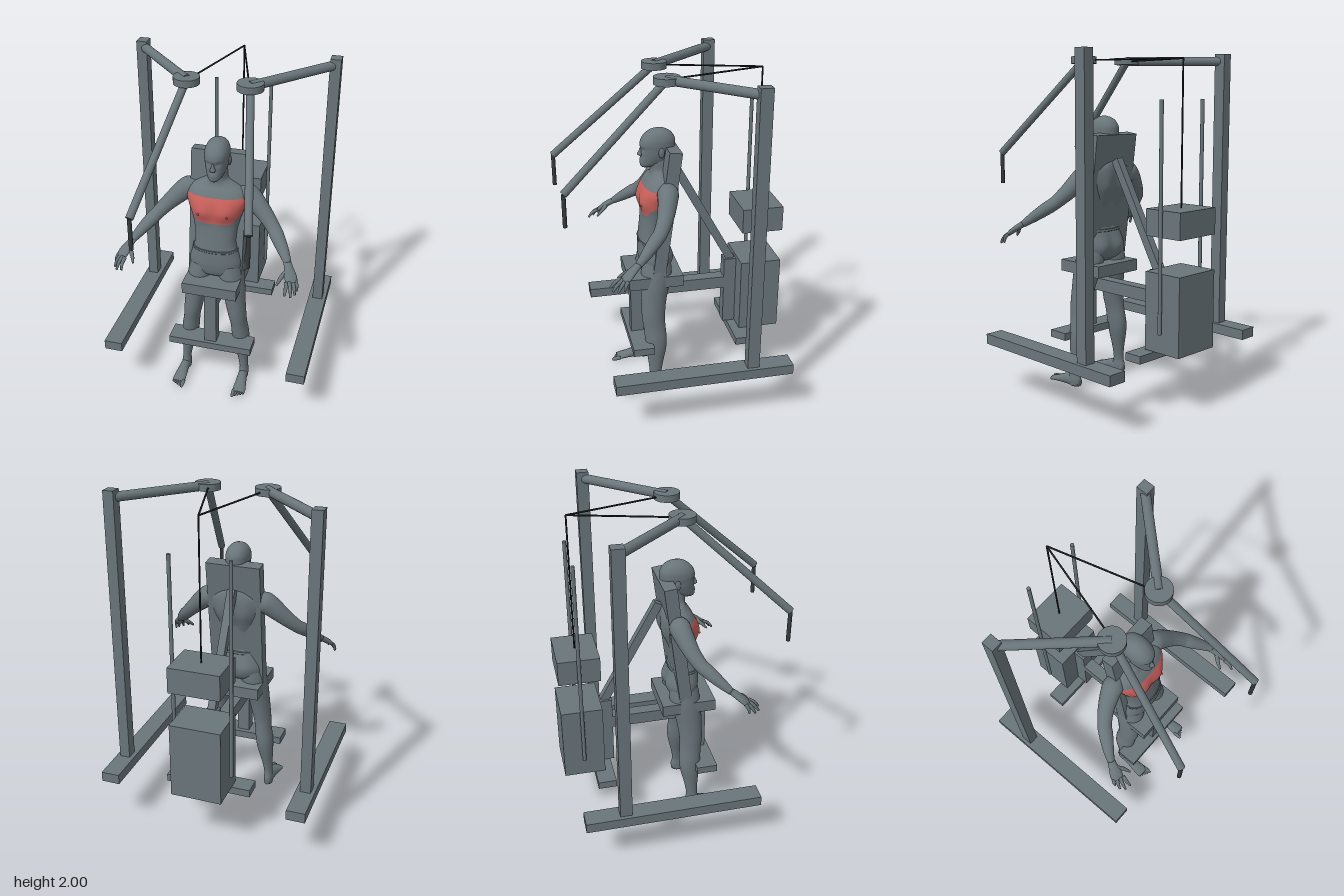
import * as THREE from 'three';

const V = (x, y, z) => new THREE.Vector3(x, y, z);
const mat = (name, color) => new THREE.MeshStandardMaterial({ name, color });

// Catmull-Rom interpolation of table rows
function smoothRows(rows, n) {
  const out = [], last = rows.length - 1;
  const row = i => rows[Math.min(last, Math.max(0, i))];
  for (let i = 0; i < last; i++) for (let k = 0; k < n; k++) {
    const t = k / n;
    out.push(rows[i].map((p1, c) => {
      const p0 = row(i - 1)[c], p2 = row(i + 1)[c], p3 = row(i + 2)[c];
      return 0.5 * (2 * p1 + (p2 - p0) * t + (2 * p0 - 5 * p1 + 4 * p2 - p3) * t * t
        + (3 * p1 - p0 - 3 * p2 + p3) * t * t * t);
    }));
  }
  out.push(rows[last]);
  return out;
}

// Closed skin over rings of points; faces passing the test go to material 1
function skin(rings, test = () => false) {
  const n = rings[0].length, m = rings.length, pts = rings.flat(), sets = [[], []];
  const tri = (a, b, c) => {
    const mid = V(0, 0, 0).add(pts[a]).add(pts[b]).add(pts[c]).divideScalar(3);
    sets[test(mid) ? 1 : 0].push(a, b, c);
  };
  for (const r of [rings[0], rings[m - 1]])
    pts.push(r.reduce((s, p) => s.add(p), V(0, 0, 0)).divideScalar(n));
  for (let j = 0; j < n; j++) {
    const k = (j + 1) % n;
    for (let i = 0; i < m - 1; i++) {
      const a = i * n + j, b = i * n + k, c = a + n, d = b + n;
      tri(a, c, b); tri(b, c, d);
    }
    tri(m * n, j, k);
    tri(m * n + 1, (m - 1) * n + k, (m - 1) * n + j);
  }
  const g = new THREE.BufferGeometry().setFromPoints(pts);
  g.setIndex([...sets[0], ...sets[1]]);
  g.addGroup(0, sets[0].length, 0);
  g.addGroup(sets[0].length, sets[1].length, 1);
  g.computeVertexNormals();
  return g;
}

// Upright form from rows [y, centre x, half width, front z, back z], lowest first
function upright(rows, sx, { n = 28, steps = 5, power = 0.9, bump = () => 0, test } = {}) {
  const pw = v => Math.sign(v) * Math.abs(v) ** power;
  return skin(smoothRows(rows, steps).map(([y, cx, rx, zf, zb]) =>
    Array.from({ length: n }, (_, j) => {
      const a = j / n * Math.PI * 2, x = cx * sx + rx * pw(Math.cos(a));
      const z = (zf + zb) / 2 + (zf - zb) / 2 * pw(Math.sin(a));
      return V(x, y, z + bump(x, y, Math.sin(a)));
    })), test);
}

// Limb along rows [x, y, z, side radius, vertical radius]
function limb(rows, sx, n = 16, steps = 5) {
  const r = smoothRows(rows, steps).map(([x, y, z, a, b]) => ({ p: V(x * sx, y, z), a, b }));
  return skin(r.map(({ p, a, b }, i) => {
    const t = r[Math.min(i + 1, r.length - 1)].p.clone().sub(r[Math.max(i - 1, 0)].p).normalize();
    const s = t.clone().cross(V(0, 1, 0)).normalize(), u = s.clone().cross(t);
    return Array.from({ length: n }, (_, j) => {
      const w = j / n * Math.PI * 2;
      return p.clone().addScaledVector(s, a * Math.cos(w)).addScaledVector(u, b * Math.sin(w));
    });
  }));
}

export function createModel() {
  const steel = mat('slate grey', 0x69757a);
  const red = mat('muscle red', 0xc85f5a);
  const dark = mat('dark grip', 0x343a3a);
  const black = mat('cable black', 0x1c2022);
  const model = new THREE.Group();
  model.name = 'chestFlyMachine';
  const machine = new THREE.Group(), figure = new THREE.Group();
  machine.name = 'machine';
  figure.name = 'figure';
  model.add(machine, figure);

  const add = (parent, name, geo, m = steel) => {
    const o = new THREE.Mesh(geo, m);
    o.name = name;
    parent.add(o);
    return o;
  };
  const box = (name, x0, x1, y0, y1, z0, z1) => {
    const o = add(machine, name, new THREE.BoxGeometry(x1 - x0, y1 - y0, z1 - z0));
    o.position.set((x0 + x1) / 2, (y0 + y1) / 2, (z0 + z1) / 2);
    return o;
  };
  const bar = (name, a, b, r, m = steel, sides = 20) => {
    const d = b.clone().sub(a);
    const o = add(machine, name, new THREE.CylinderGeometry(r, r, d.length(), sides), m);
    o.position.copy(a).add(b).multiplyScalar(0.5);
    o.quaternion.setFromUnitVectors(V(0, 1, 0), d.normalize());
    return o;
  };

  // Centre frame, seat and weights
  box('frontFootBoard', -0.257, 0.257, 0.3, 0.345, 0.145, 0.272);
  box('rearFootBoard', -0.257, 0.257, 0.3, 0.345, -0.47, -0.36);
  box('seat', -0.165, 0.165, 0.7, 0.77, -0.05, 0.275);
  box('seatPost', -0.037, 0.037, 0.345, 0.7, 0.175, 0.25);
  box('rearPost', -0.037, 0.037, 0.345, 0.78, -0.41, -0.335);
  box('seatBeam', -0.037, 0.037, 0.585, 0.66, -0.34, 0.18);
  box('weightStack', -0.15, 0.15, 0.35, 0.8, -0.655, -0.41);
  box('liftedWeight', -0.15, 0.15, 1.0, 1.15, -0.655, -0.41);
  const pad = box('backPad', -0.163, 0.163, 0.74, 1.54, 0.01, 0.085);
  pad.rotation.x = -0.13;
  const brace = box('backBrace', -0.023, 0.023, 0.73, 1.43, -0.235, -0.185);
  brace.rotation.x = 0.507;
  bar('liftCable', V(0, 1.15, -0.535), V(0, 1.957, -0.535), 0.005, black, 8);

  for (const s of [-1, 1]) {
    // Side frame and swinging arm
    box('floorRail', s * 0.565 - 0.055, s * 0.565 + 0.055, 0.3, 0.36, -0.6, 0.435);
    box('upright', s * 0.567 - 0.031, s * 0.567 + 0.031, 0.36, 2, -0.4, -0.33);
    bar('topBeam', V(s * 0.565, 1.957, -0.365), V(s * 0.175, 1.957, 0.053), 0.027);
    bar('pivotDisc', V(s * 0.176, 1.937, 0.053), V(s * 0.176, 1.977, 0.053), 0.073, steel, 32);
    bar('swingArm', V(s * 0.176, 1.957, 0.053), V(s * 0.316, 1.41, 0.642), 0.022);
    bar('handle', V(s * 0.316, 1.22, 0.642), V(s * 0.316, 1.41, 0.642), 0.012, dark);
    bar('pullCable', V(s * 0.15, 1.957, -0.015), V(0, 1.957, -0.535), 0.005, black, 8);
    bar('guideRod', V(s * 0.17, 0.465, -0.535), V(s * 0.17, 1.74, -0.535), 0.011);
  }

  // Torso and neck, with the chest muscles in red
  const bell = (x, y, w, h) => Math.exp(-x * x / w / w - y * y / h / h);
  add(figure, 'torso', upright([
    [0.77, 0, 0.07, 0.15, 0.06], [0.8, 0, 0.14, 0.18, 0.015], [0.86, 0, 0.158, 0.193, 0],
    [0.93, 0, 0.142, 0.193, 0.012], [1.0, 0, 0.122, 0.187, 0.03], [1.08, 0, 0.125, 0.178, 0.02],
    [1.15, 0, 0.14, 0.172, 0], [1.22, 0, 0.162, 0.178, -0.027], [1.28, 0, 0.178, 0.17, -0.035],
    [1.33, 0, 0.165, 0.145, -0.035], [1.365, 0, 0.115, 0.12, -0.028],
    [1.395, 0, 0.064, 0.115, -0.012], [1.44, 0, 0.054, 0.12, -0.008], [1.48, 0, 0.05, 0.11, 0]],
    1, {
      n: 72, steps: 8, power: 0.85,
      bump: (x, y, s) => s > 0
        ? s * 0.02 * bell(Math.abs(x) - 0.075, y - 1.215, 0.06, 0.06)
        : s * (0.012 * bell(Math.abs(x) - 0.07, y - 1.2, 0.04, 0.12)
          + 0.014 * bell(Math.abs(x) - 0.07, y - 0.86, 0.05, 0.06) - 0.008 * bell(x, y - 1.1, 0.03, 0.2)),
      test: p => p.z > 0.085 && p.y < 1.308 && p.y > 1.145 + Math.max(0, Math.abs(p.x) - 0.1) * 1.1,
    }), [steel, red]);
  // Waistband of the shorts
  add(figure, 'waistband', upright([[0.955, 0, 0.137, 0.194, 0.014], [0.97, 0, 0.135, 0.195, 0.016]], 1,
    { n: 48, power: 0.85 }));

  // Head with jaw, brow and skull
  add(figure, 'head', upright([
    [1.415, 0, 0.022, 0.165, 0.1], [1.43, 0, 0.04, 0.173, 0.05], [1.455, 0, 0.053, 0.172, 0.0],
    [1.49, 0, 0.063, 0.168, -0.018], [1.525, 0, 0.067, 0.17, -0.028], [1.55, 0, 0.069, 0.173, -0.03],
    [1.58, 0, 0.067, 0.165, -0.028], [1.61, 0, 0.055, 0.142, -0.01], [1.63, 0, 0.035, 0.112, 0.02],
    [1.64, 0, 0.008, 0.08, 0.055]], 1, {
      n: 40, steps: 5,
      bump: (x, y, s) => s <= 0 ? 0 : s * (0.004 * bell(x, y - 1.455, 0.02, 0.012)
        - 0.009 * bell(Math.abs(x) - 0.028, y - 1.522, 0.014, 0.012)),
    }));
  add(figure, 'nose', upright([[1.482, 0, 0.013, 0.178, 0.15], [1.492, 0, 0.016, 0.19, 0.15],
    [1.51, 0, 0.009, 0.181, 0.15], [1.535, 0, 0.006, 0.17, 0.15]], 1, { n: 12 }));

  for (const s of [-1, 1]) {
    // Ears and nipples
    const ear = add(figure, 'ear', new THREE.SphereGeometry(1, 12, 10));
    ear.scale.set(0.009, 0.03, 0.018);
    ear.position.set(s * 0.068, 1.51, 0.06);
    const nipple = add(figure, 'nipple', new THREE.SphereGeometry(0.006, 10, 8), red);
    nipple.position.set(s * 0.085, 1.205, 0.187);

    // Arm and hand
    add(figure, 'arm', limb([
      [0.12, 1.325, 0.04, 0.035, 0.035], [0.165, 1.305, 0.045, 0.06, 0.062],
      [0.21, 1.275, 0.055, 0.057, 0.06], [0.285, 1.205, 0.085, 0.047, 0.047],
      [0.345, 1.145, 0.125, 0.041, 0.039], [0.375, 1.115, 0.16, 0.041, 0.038],
      [0.42, 1.068, 0.215, 0.033, 0.031], [0.46, 1.022, 0.27, 0.021, 0.02]], s, 24));
    add(figure, 'palm', limb([
      [0.45, 1.033, 0.255, 0.02, 0.018], [0.468, 1.01, 0.29, 0.026, 0.018],
      [0.488, 0.98, 0.33, 0.036, 0.016], [0.502, 0.955, 0.358, 0.034, 0.011]], s));
    const tips = [[0.532, 0.91, 0.36], [0.528, 0.903, 0.395], [0.508, 0.903, 0.422], [0.475, 0.912, 0.43]];
    tips.forEach(([x, y, z], i) => {
      const k = [0.519 - i * 0.016, 0.962, 0.338 + i * 0.011];
      add(figure, 'finger', limb([[...k, 0.011, 0.011],
        [(k[0] + x) / 2 + 0.004, (k[1] + y) / 2 + 0.006, (k[2] + z) / 2 + 0.003, 0.01, 0.01],
        [x, y, z, 0.006, 0.006]], s, 10, 3));
    });
    add(figure, 'thumb', limb([[0.468, 1.0, 0.305, 0.014, 0.014], [0.437, 0.97, 0.345, 0.012, 0.012],
      [0.42, 0.938, 0.38, 0.006, 0.006]], s, 10, 3));

    // Leg
    add(figure, 'leg', upright([
      [0.01, 0.189, 0.026, 0.17, 0.095], [0.05, 0.19, 0.029, 0.178, 0.085],
      [0.1, 0.188, 0.026, 0.165, 0.095], [0.18, 0.18, 0.034, 0.168, 0.083],
      [0.28, 0.168, 0.049, 0.18, 0.06], [0.35, 0.16, 0.053, 0.186, 0.053],
      [0.43, 0.15, 0.05, 0.192, 0.058], [0.5, 0.14, 0.055, 0.2, 0.06],
      [0.6, 0.125, 0.062, 0.2, 0.048], [0.7, 0.108, 0.072, 0.198, 0.025],
      [0.78, 0.092, 0.077, 0.192, 0.008], [0.86, 0.08, 0.07, 0.18, 0.015]], s, { power: 1 }));

    // Foot and toes
    add(figure, 'foot', limb([
      [0.188, 0.033, 0.09, 0.018, 0.022], [0.189, 0.036, 0.13, 0.028, 0.034],
      [0.191, 0.04, 0.18, 0.029, 0.036], [0.194, 0.031, 0.24, 0.035, 0.025],
      [0.196, 0.022, 0.29, 0.04, 0.016], [0.197, 0.02, 0.315, 0.034, 0.011]], s, 20));
    for (let i = 0; i < 5; i++) {
      const x = 0.165 + i * 0.0155, r = i ? 0.008 : 0.012;
      add(figure, 'toe', limb([[x, 0.02, 0.295, r, r], [x, 0.017, 0.325 - i * 0.005, r, r],
        [x, 0.014, 0.35 - i * 0.009, r * 0.6, r * 0.6]], s, 10, 3));
    }
  }
  return model;
}
